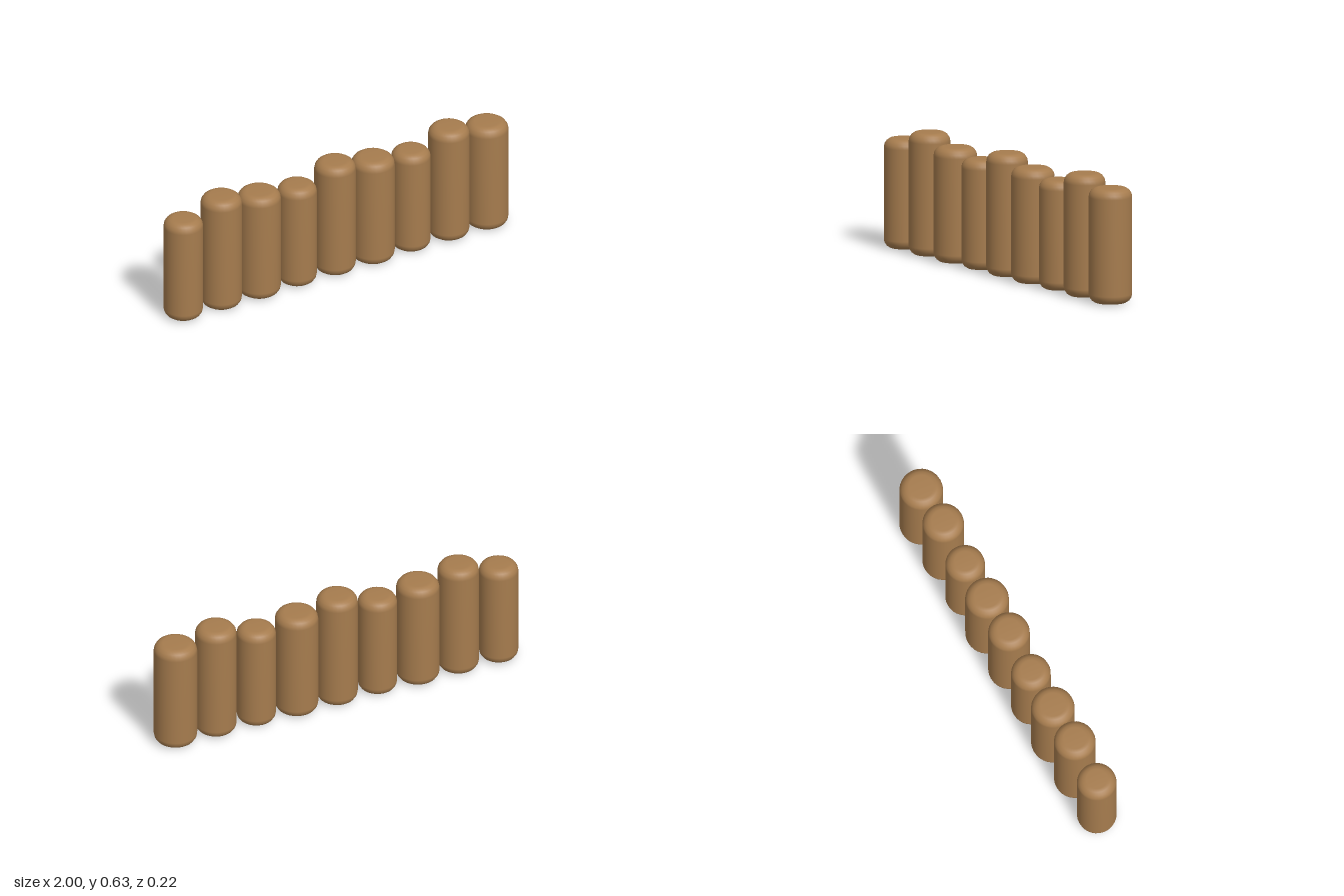
import * as THREE from 'three';

// Upright log with softly rounded rims at both ends
function logGeometry(radius, height, bevel = 0.047, steps = 4) {
  const points = [new THREE.Vector2(0, 0)];
  for (let i = 0; i <= steps; i++) {
    const a = (i / steps) * Math.PI / 2;
    points.push(new THREE.Vector2(radius - bevel + bevel * Math.sin(a), bevel - bevel * Math.cos(a)));
  }
  for (let i = 0; i <= steps; i++) {
    const a = (i / steps) * Math.PI / 2;
    points.push(new THREE.Vector2(radius - bevel + bevel * Math.cos(a), height - bevel + bevel * Math.sin(a)));
  }
  points.push(new THREE.Vector2(0, height));
  return new THREE.LatheGeometry(points, 32);
}

export function createModel() {
  const group = new THREE.Group();
  group.name = 'logPalisade';
  const wood = new THREE.MeshStandardMaterial({ color: 0xa67c4e });
  wood.name = 'brown wood';

  // Three log sizes repeat along the row: thin and short, tall, thick
  const sizes = [[0.1, 0.564], [0.105, 0.63], [0.11, 0.59]];
  const geometries = sizes.map(([radius, height]) => logGeometry(radius, height));
  const count = 9, first = -0.9, last = 0.89;
  for (let i = 0; i < count; i++) {
    const log = new THREE.Mesh(geometries[i % 3], wood);
    log.name = `log${i + 1}`;
    log.position.x = first + (last - first) * i / (count - 1);
    group.add(log);
  }
  return group;
}
